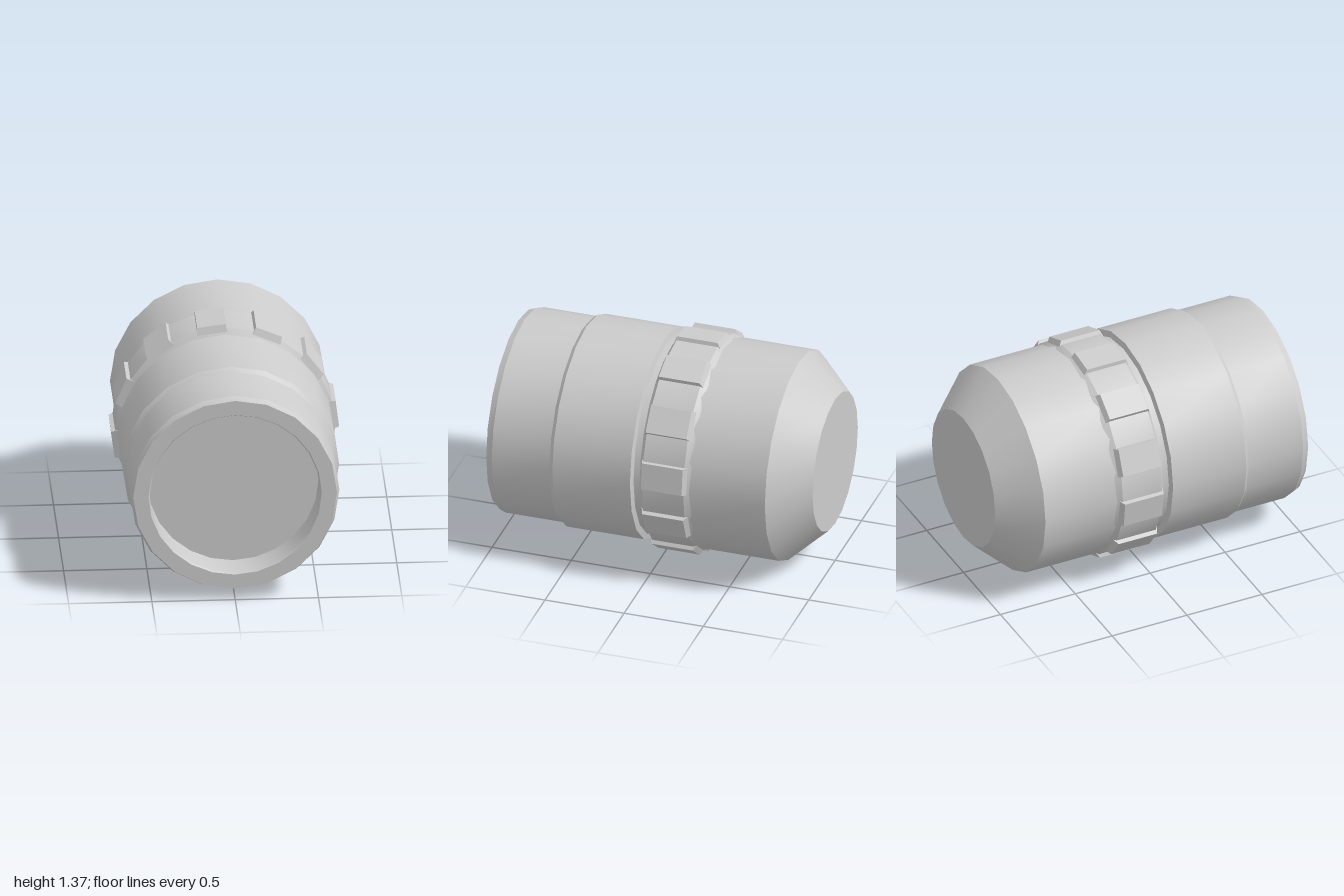
import * as THREE from 'three';
import { toCreasedNormals } from 'three/addons/utils/BufferGeometryUtils.js';

const AXIS_Y = 0.686;
const grey = new THREE.MeshStandardMaterial({ color: 0xcccccc });

// Revolve [z, r] pairs (listed from back to front for outward faces) about the z axis
function revolve(name, profile, sides) {
  const points = profile.map(([z, r]) => new THREE.Vector2(r, z));
  const geo = new THREE.LatheGeometry(points, sides).rotateX(Math.PI / 2);
  const mesh = new THREE.Mesh(toCreasedNormals(geo, 0.33), grey);
  mesh.name = name;
  return mesh;
}

// Regular polygon outline with a corner at the top
function polygon(PathType, r, sides) {
  const pts = [];
  for (let i = 0; i < sides; i++) {
    const a = (i / sides) * Math.PI * 2;
    pts.push(new THREE.Vector2(r * Math.sin(a), r * Math.cos(a)));
  }
  return new PathType(pts);
}

// Grip lug: a flat-topped block with sloping sides, from angle a0 to a1 (clockwise from the top)
function lugGeometry(a0, a1) {
  const base = { r: 0.64, z0: -0.285, z1: 0.016, grow: 0.02 };
  const top = { r: 0.684, z0: -0.257, z1: 0, grow: 0 };
  const v = [];
  for (const { r, z0, z1, grow } of [base, top]) {
    for (const [a, z] of [[a0 - grow, z0], [a1 + grow, z0], [a1 + grow, z1], [a0 - grow, z1]]) {
      v.push(r * Math.sin(a), r * Math.cos(a), z);
    }
  }
  const geo = new THREE.BufferGeometry();
  geo.setAttribute('position', new THREE.Float32BufferAttribute(v, 3));
  const index = [4, 6, 5, 4, 7, 6];
  for (let i = 0; i < 4; i++) {
    const j = (i + 1) % 4;
    index.push(i, 4 + j, j, i, 4 + i, 4 + j);
  }
  geo.setIndex(index);
  const flat = geo.toNonIndexed();
  flat.computeVertexNormals();
  return flat;
}

export function createModel() {
  const model = new THREE.Group();
  model.name = 'barrel';
  const core = new THREE.Group();
  core.name = 'barrelCore';
  core.position.y = AXIS_Y;
  model.add(core);

  // Rear housing with tapered closed end
  core.add(revolve('rearHousing', [
    [-1, 0], [-1, 0.43], [-0.77, 0.645], [-0.26, 0.645],
  ], 20));

  // Front sleeve: neck groove, wide band, narrower chamfered nose
  core.add(revolve('frontSleeve', [
    [-0.02, 0.612], [0.07, 0.612], [0.08, 0.65], [0.57, 0.65],
    [0.595, 0.628], [0.96, 0.628], [1, 0.612],
  ], 20));

  // Flat rim around the front opening
  const rimShape = polygon(THREE.Shape, 0.612, 20);
  rimShape.holes.push(polygon(THREE.Path, 0.52, 24));
  const rim = new THREE.Mesh(new THREE.ShapeGeometry(rimShape), grey);
  rim.name = 'frontRim';
  rim.position.z = 1;
  core.add(rim);

  // Recessed opening, running inward to its floor
  core.add(revolve('frontRecess', [
    [1, 0.52], [0.985, 0.512], [0.8, 0.512], [0.8, 0],
  ], 24));

  // Grip ring with twelve lugs
  const grip = new THREE.Group();
  grip.name = 'gripRing';
  grip.add(revolve('gripBand', [
    [-0.3, 0.64], [-0.26, 0.661], [0, 0.661], [0.03, 0.615], [0.03, 0.58],
  ], 24));
  const geo = lugGeometry(THREE.MathUtils.degToRad(-14.2), 0);
  for (let i = 0; i < 12; i++) {
    const lug = new THREE.Mesh(geo, grey);
    lug.name = 'gripLug' + (i + 1);
    lug.rotation.z = (i * Math.PI) / 6;
    grip.add(lug);
  }
  core.add(grip);

  return model;
}
